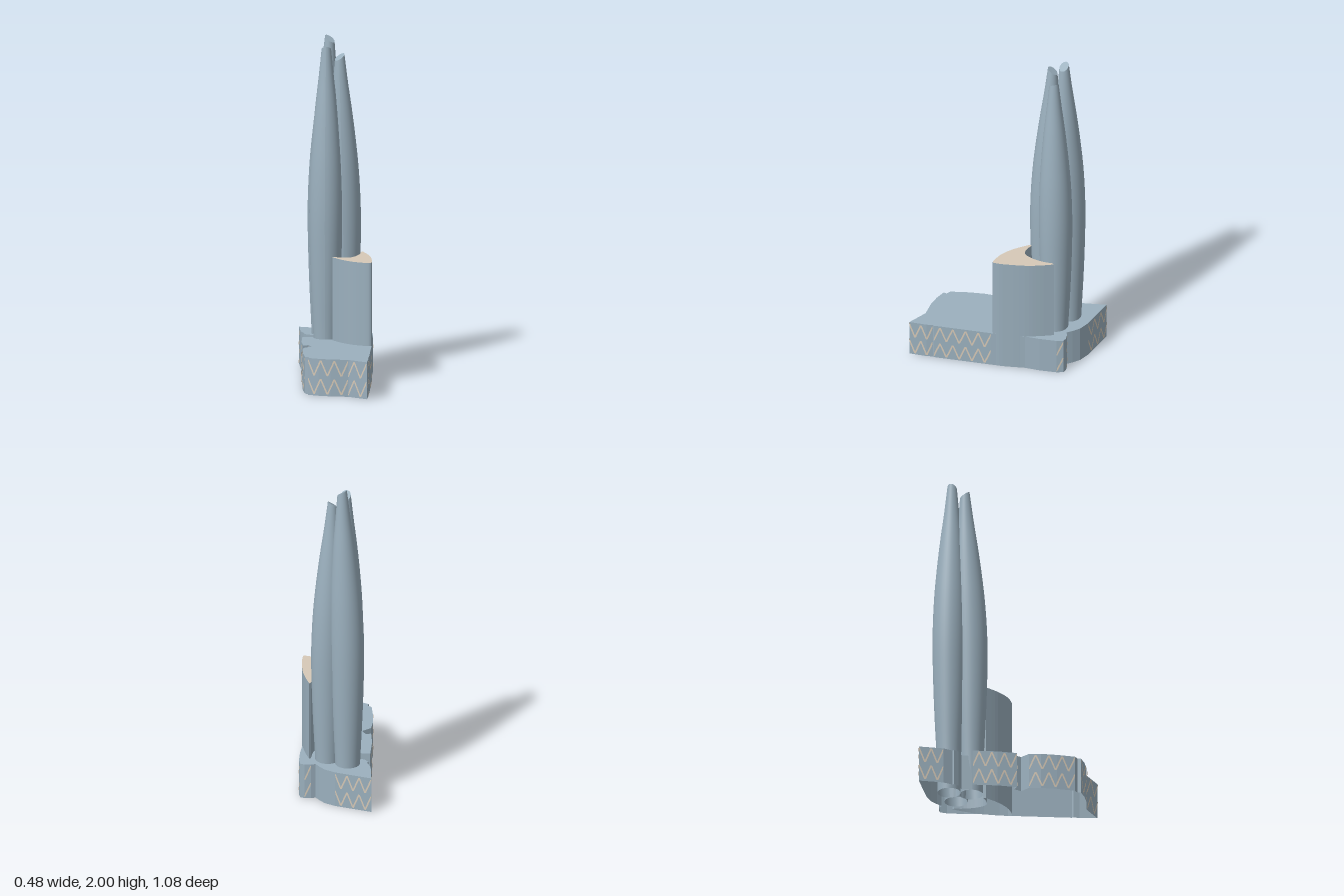
import * as THREE from 'three';

const steel = new THREE.MeshStandardMaterial({ color: 0x9bb0be, side: THREE.DoubleSide });
steel.name = 'blueGrey';
const sand = new THREE.MeshStandardMaterial({ color: 0xd6c9b7, side: THREE.DoubleSide });
sand.name = 'sand';

const PODIUM_TOP = 0.22;
const WING_TOP = 0.715;

// Podium outline as [x, z], running back -> right -> front -> left
const OUTLINE = [
  [-0.24, -0.535], [-0.10, -0.50], [-0.02, -0.48], [0.045, -0.45], [0.08, -0.415], [0.105, -0.385],
  [0.13, -0.395], [0.17, -0.398], [0.195, -0.39], [0.207, -0.35], [0.212, -0.25], [0.208, -0.16],
  [0.222, -0.04], [0.226, 0.04], [0.235, 0.385], [0.23, 0.392], [0.236, 0.43], [0.234, 0.533],
  [0.12, 0.466], [0.016, 0.46], [-0.055, 0.445], [-0.12, 0.42], [-0.115, 0.40], [-0.14, 0.385],
  [-0.16, 0.28], [-0.17, 0.186], [-0.167, 0.114], [-0.12, 0.07], [-0.145, 0.03], [-0.175, 0.043],
  [-0.193, -0.07], [-0.198, -0.217], [-0.13, -0.217], [-0.13, -0.28], [-0.18, -0.30],
  [-0.20, -0.326], [-0.193, -0.336], [-0.22, -0.39]
];

// Runs of outline points [first, last] that carry the zigzag lattice
const PANELS = [[0, 2], [6, 7], [8, 9], [13, 14], [15, 17], [17, 18], [18, 21], [23, 26], [28, 29], [29, 31], [37, 38]];

function addMesh(parent, name, geometry, material) {
  const mesh = new THREE.Mesh(geometry, material);
  mesh.name = name;
  parent.add(mesh);
  return mesh;
}

function geometryFrom(positions, indices) {
  const g = new THREE.BufferGeometry();
  g.setAttribute('position', new THREE.Float32BufferAttribute(positions, 3));
  if (indices) g.setIndex(indices);
  g.computeVertexNormals();
  return g;
}

// Vertical walls around a closed outline
function wallGeometry(points, y0, y1) {
  const pos = [];
  points.forEach(([ax, az], i) => {
    const [bx, bz] = points[(i + 1) % points.length];
    pos.push(ax, y0, az, ax, y1, az, bx, y1, bz, ax, y0, az, bx, y1, bz, bx, y0, bz);
  });
  return geometryFrom(pos);
}

// Flat upward face filling an outline
function capGeometry(points, y) {
  const shape = new THREE.Shape(points.map(([x, z]) => new THREE.Vector2(x, -z)));
  return new THREE.ShapeGeometry(shape).rotateX(-Math.PI / 2).translate(0, y, 0);
}

// Zigzag ribbon that follows a run of wall points
function zigzagGeometry(path, yLow, yHigh) {
  const lengths = [0];
  for (let i = 1; i < path.length; i++) {
    lengths.push(lengths[i - 1] + Math.hypot(path[i][0] - path[i - 1][0], path[i][1] - path[i - 1][1]));
  }
  const total = lengths[lengths.length - 1];
  const at = (s) => {
    s = Math.min(Math.max(s, 0), total);
    let i = 1;
    while (i < path.length - 1 && lengths[i] < s) i++;
    const [ax, az] = path[i - 1], [bx, bz] = path[i];
    const len = lengths[i] - lengths[i - 1], t = (s - lengths[i - 1]) / len;
    const off = 0.004 / len;
    return [ax + (bx - ax) * t + (bz - az) * off, az + (bz - az) * t - (bx - ax) * off];
  };
  const strokes = Math.max(1, Math.round(total / 0.038));
  const steps = 4, half = 0.005, pos = [];
  for (let k = 0; k < strokes * steps; k++) {
    const corner = (n, side) => {
      const u = n / steps, f = u % 2;
      const [x, z] = at((u / strokes) * total + side * half);
      return [x, yHigh + (yLow - yHigh) * (f <= 1 ? f : 2 - f), z];
    };
    const a = corner(k, -1), b = corner(k, 1), c = corner(k + 1, 1), d = corner(k + 1, -1);
    pos.push(...a, ...b, ...c, ...a, ...c, ...d);
  }
  return geometryFrom(pos);
}

// Swelling tube that leans to its tip and is cut on a slant
const PROFILE = [[0, 0.068], [0.11, 0.073], [0.25, 0.086], [0.37, 0.094], [0.5, 0.098], [0.62, 0.093],
  [0.72, 0.081], [0.82, 0.064], [0.91, 0.045], [1, 0.028]];

function buildTower(name, base, tip, height) {
  const tower = new THREE.Group();
  tower.name = name;
  const curve = new THREE.SplineCurve(PROFILE.map(([t, r]) => new THREE.Vector2(t, r)));
  const sides = 36, rings = 36, pos = [], idx = [];
  const outward = new THREE.Vector2(base[0] - tip[0], base[1] - tip[1]).normalize();
  for (let j = 0; j <= rings; j++) {
    const { x: t, y: r } = curve.getPoint(j / rings);
    const lean = THREE.MathUtils.smoothstep(t, 0.4, 1.15) / THREE.MathUtils.smoothstep(1, 0.4, 1.15);
    const cx = base[0] + (tip[0] - base[0]) * lean;
    const cz = base[1] + (tip[1] - base[1]) * lean;
    for (let i = 0; i <= sides; i++) {
      const a = (i / sides) * Math.PI * 2;
      const dx = Math.sin(a) * r, dz = Math.cos(a) * r;
      const cut = 0.7 * Math.pow(t, 14) * (dx * outward.x + dz * outward.y - r);
      pos.push(cx + dx, t * height + cut, cz + dz);
      if (j < rings && i < sides) {
        const p = j * (sides + 1) + i, q = p + sides + 1;
        idx.push(p, p + 1, q + 1, p, q + 1, q);
      }
    }
  }
  addMesh(tower, 'towerShaft', geometryFrom(pos, idx), steel);

  // Slanted tip face
  const rim = pos.slice(rings * (sides + 1) * 3);
  const tipPos = [];
  for (let i = 1; i < sides - 1; i++) {
    tipPos.push(...rim.slice(0, 3), ...rim.slice(i * 3, i * 3 + 6));
  }
  addMesh(tower, 'towerTip', geometryFrom(tipPos), steel);
  return tower;
}

export function createModel() {
  const model = new THREE.Group();
  model.name = 'towerComplex';

  // Podium shell, open below
  const podium = new THREE.Group();
  podium.name = 'podium';
  model.add(podium);
  addMesh(podium, 'podiumWalls', wallGeometry(OUTLINE, 0, PODIUM_TOP), steel);
  addMesh(podium, 'podiumRoof', capGeometry(OUTLINE, PODIUM_TOP), steel);
  addMesh(podium, 'podiumCeiling', capGeometry(OUTLINE, PODIUM_TOP - 0.006), sand);

  // Two rows of zigzag lattice on the facade panels
  const lattice = new THREE.Group();
  lattice.name = 'facadeLattice';
  podium.add(lattice);
  for (const [first, last] of PANELS) {
    const path = [];
    for (let i = first; i <= last; i++) path.push(OUTLINE[i % OUTLINE.length]);
    addMesh(lattice, 'upperZigzag', zigzagGeometry(path, 0.12, 0.212), sand);
    addMesh(lattice, 'lowerZigzag', zigzagGeometry(path, 0.01, 0.102), sand);
  }

  // Crescent wing wrapping the towers
  const spline = (pts, n) => new THREE.SplineCurve(pts.map((p) => new THREE.Vector2(...p)))
    .getPoints(n).map((p) => [p.x, p.y]);
  const wingOutline = [
    ...spline([[0.15, -0.32], [0.182, -0.243], [0.207, -0.157], [0.224, -0.03], [0.223, 0.03]], 16),
    ...spline([[0.215, 0.033], [0.185, 0.028], [0.115, 0], [0.045, -0.057], [-0.015, -0.13]], 16),
    ...spline([[-0.013, -0.145], [0.03, -0.127], [0.08, -0.126], [0.115, -0.17], [0.137, -0.243], [0.14, -0.31]], 18)
  ];
  const wing = new THREE.Group();
  wing.name = 'wing';
  model.add(wing);
  addMesh(wing, 'wingWalls', wallGeometry(wingOutline, 0, WING_TOP), steel);
  addMesh(wing, 'wingRoof', capGeometry(wingOutline, WING_TOP), sand);

  // Three leaning towers
  model.add(
    buildTower('backTower', [-0.08, -0.35], [-0.045, -0.33], 2.0),
    buildTower('frontTower', [-0.06, -0.22], [-0.06, -0.257], 1.95),
    buildTower('sideTower', [0.043, -0.303], [0.016, -0.285], 1.9)
  );
  return model;
}
